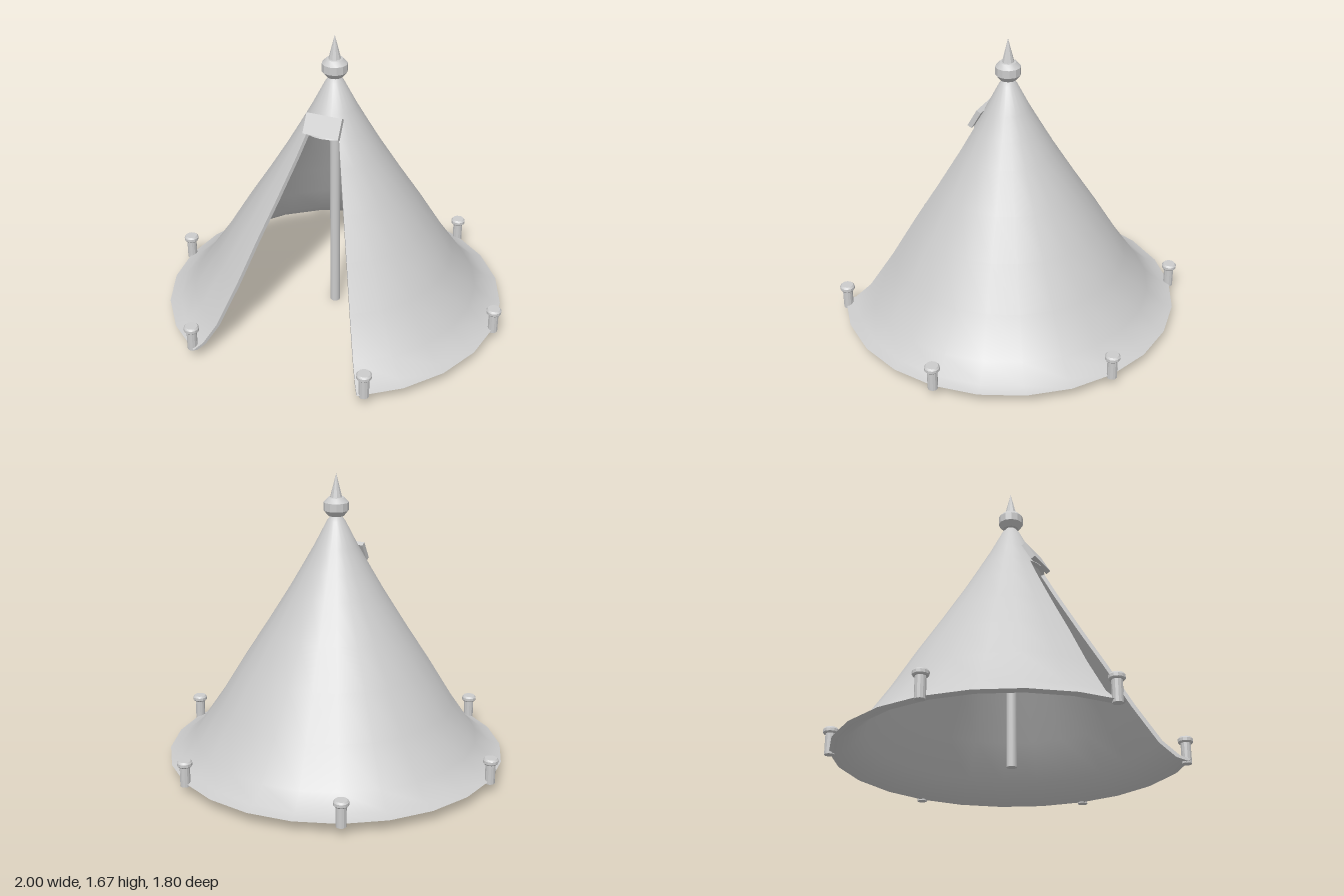
import * as THREE from 'three';
import { mergeGeometries, toCreasedNormals } from 'three/addons/utils/BufferGeometryUtils.js';

const SEGMENTS = 24;
const CENTER_Z = 0.05;
const LINTEL = 7; // profile row where the doorway ends

// Canvas profile [radius, height], from flared hem to apex
const OUTER = [
  [0.96, 0.065], [0.9, 0.085], [0.81, 0.165], [0.67, 0.37], [0.53, 0.6], [0.395, 0.81],
  [0.265, 1.02], [0.19, 1.15], [0.122, 1.27], [0.05, 1.41], [0.025, 1.44], [0, 1.45],
];
const INNER = OUTER.slice(0, -1).map(([r, y]) => [Math.max(0, r - 0.02), y - 0.01]);

const material = new THREE.MeshStandardMaterial({ color: 0xcccccc });
const canvasMaterial = new THREE.MeshStandardMaterial({ color: 0xcccccc, side: THREE.DoubleSide });

function add(parent, name, geometry, x = 0, y = 0, z = 0, mat = material) {
  const mesh = new THREE.Mesh(geometry, mat);
  mesh.name = name;
  mesh.position.set(x, y, z);
  parent.add(mesh);
  return mesh;
}

function lathe(points, segments) {
  const geometry = new THREE.LatheGeometry(points.map(([r, y]) => new THREE.Vector2(r, y)), segments);
  return toCreasedNormals(geometry, 0.5);
}

// Thick conical shell with a wedge-shaped doorway facing front
function canvasGeometry() {
  const n = OUTER.length;
  const profile = [...INNER].reverse().concat(OUTER);
  const shell = new THREE.LatheGeometry(profile.map(([r, y]) => new THREE.Vector2(r, y)), SEGMENTS);

  // Leave out the doorway cells
  const cells = profile.length - 1;
  const source = shell.index.array;
  const kept = [];
  for (let i = 0; i < SEGMENTS; i++) {
    for (let j = 0; j < cells; j++) {
      const inDoor = (i < 2 || i >= SEGMENTS - 2) && j >= n - 2 - LINTEL && j < n - 1 + LINTEL;
      if (!inDoor) kept.push(...source.slice((i * cells + j) * 6, (i * cells + j) * 6 + 6));
    }
  }
  shell.setIndex(kept);
  shell.deleteAttribute('uv');
  shell.deleteAttribute('normal');

  // Edge of the doorway: up one jamb, across the lintel, down the other
  const path = [];
  const step = (Math.PI * 2) / SEGMENTS;
  for (let k = 0; k <= LINTEL; k++) path.push([k, 2 * step]);
  for (let s = 1; s >= -1; s--) path.push([LINTEL, s * step]);
  for (let k = LINTEL; k >= 0; k--) path.push([k, -2 * step]);
  const at = ([r, y], a) => [r * Math.sin(a), y, r * Math.cos(a)];
  const edge = [];
  for (let i = 0; i < path.length - 1; i++) {
    const [k0, a0] = path[i], [k1, a1] = path[i + 1];
    const in0 = at(INNER[k0], a0), out0 = at(OUTER[k0], a0);
    const in1 = at(INNER[k1], a1), out1 = at(OUTER[k1], a1);
    edge.push(...in0, ...out0, ...out1, ...in0, ...out1, ...in1);
  }
  const trim = new THREE.BufferGeometry();
  trim.setAttribute('position', new THREE.Float32BufferAttribute(edge, 3));
  return toCreasedNormals(mergeGeometries([shell.toNonIndexed(), trim]), 0.7);
}

export function createModel() {
  const tent = new THREE.Group();
  tent.name = 'tent';

  add(tent, 'canvas', canvasGeometry(), 0, 0, CENTER_Z, canvasMaterial);
  add(tent, 'centerPole', toCreasedNormals(new THREE.CylinderGeometry(0.028, 0.028, 1.42, 12), 0.6), 0, 0.71, CENTER_Z);

  // Finial: faceted ball with a spike
  add(tent, 'finialBall', lathe([[0, 1.43], [0.045, 1.437], [0.07, 1.467], [0.07, 1.512], [0.045, 1.538], [0, 1.542]], 12), 0, 0, CENTER_Z);
  add(tent, 'finialSpike', lathe([[0.036, 1.53], [0, 1.67]], 10), 0, 0, CENTER_Z);

  // Plate lying on the slope above the doorway
  const plate = add(tent, 'doorPlate', new THREE.BoxGeometry(0.205, 0.115, 0.028), 0, 1.21, 0.208);
  plate.rotation.x = -0.52;

  // Pegs around the hem, mirrored left and right
  const shaft = lathe([[0, 0.05], [0.028, 0.05], [0.028, 0.17]], 12);
  const head = lathe([[0, 0.165], [0.036, 0.165], [0.042, 0.172], [0.042, 0.188], [0.034, 0.198], [0, 0.198]], 12);
  for (const side of [-1, 1]) {
    for (const [x, z] of [[0.957, 0.05], [0.48, -0.777], [0.505, 0.847]]) {
      const peg = new THREE.Group();
      peg.name = 'peg';
      peg.position.set(side * x, 0, z);
      add(peg, 'pegShaft', shaft);
      add(peg, 'pegHead', head);
      tent.add(peg);
    }
  }
  return tent;
}
